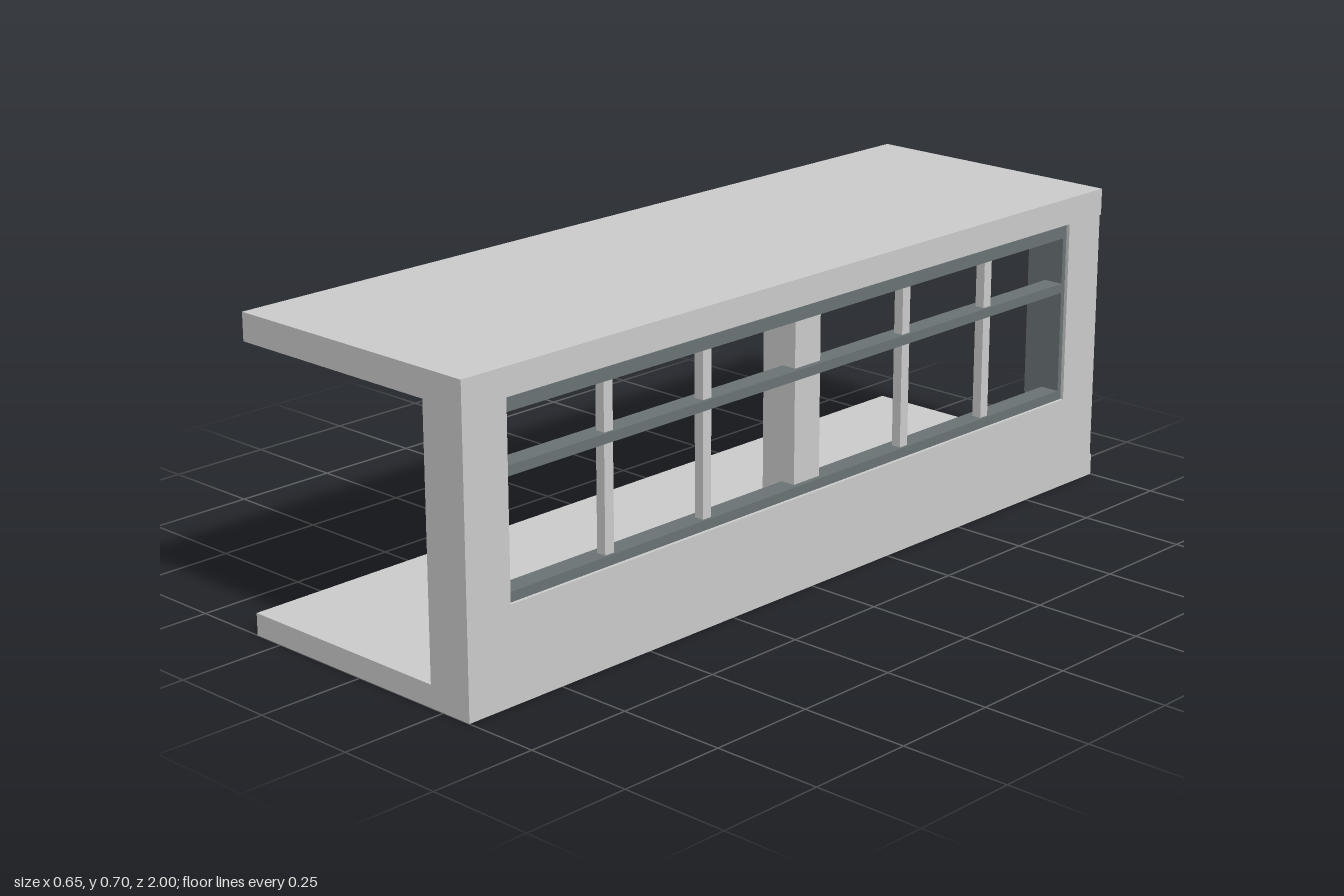
import * as THREE from 'three';

const grey = new THREE.MeshStandardMaterial({ color: 0xcccccc });
const dark = new THREE.MeshStandardMaterial({ color: 0x6a7374 });

export function createModel() {
  const model = new THREE.Group();
  model.name = 'corridorSection';

  // Box given by its lower and upper limits on each axis
  const box = (name, [x0, x1], [y0, y1], [z0, z1], material = grey) => {
    const mesh = new THREE.Mesh(new THREE.BoxGeometry(x1 - x0, y1 - y0, z1 - z0), material);
    mesh.position.set((x0 + x1) / 2, (y0 + y1) / 2, (z0 + z1) / 2);
    mesh.name = name;
    model.add(mesh);
  };

  const floorTop = 0.05, roofBottom = 0.638, sill = 0.215;
  const openFront = 0.885, openBack = -0.88;

  // Floor and roof slabs
  box('floorSlab', [-0.325, 0.325], [0, floorTop], [-1, 1]);
  box('roofSlab', [-0.325, 0.325], [roofBottom, 0.7], [-1, 1]);

  // Structural posts, full height between the slabs
  box('frontPost', [0.215, 0.325], [floorTop, roofBottom], [openFront, 1]);
  box('backPost', [0.215, 0.325], [floorTop, roofBottom], [-0.995, openBack]);
  box('centrePost', [0.215, 0.305], [floorTop, roofBottom], [-0.04, 0.04]);

  // Low wall under the windows
  box('lowerWall', [0.27, 0.325], [floorTop, sill], [openBack, openFront]);

  // Dark window rails and the jamb at the back end
  const rails = { sillRail: [sill, 0.237], middleRail: [0.475, 0.497], topRail: [0.605, roofBottom] };
  for (const [name, height] of Object.entries(rails)) {
    box(name, [0.27, 0.317], height, [openBack, openFront], dark);
  }
  box('backJamb', [0.22, 0.317], [sill, roofBottom], [openBack, -0.868], dark);

  // Slim mullions, mirrored about the centre post
  for (const side of [-1, 1]) {
    for (const z of [0.316, 0.6]) {
      box('mullion', [0.288, 0.311], [0.237, 0.605], [side * z - 0.0125, side * z + 0.0125]);
    }
  }
  return model;
}
